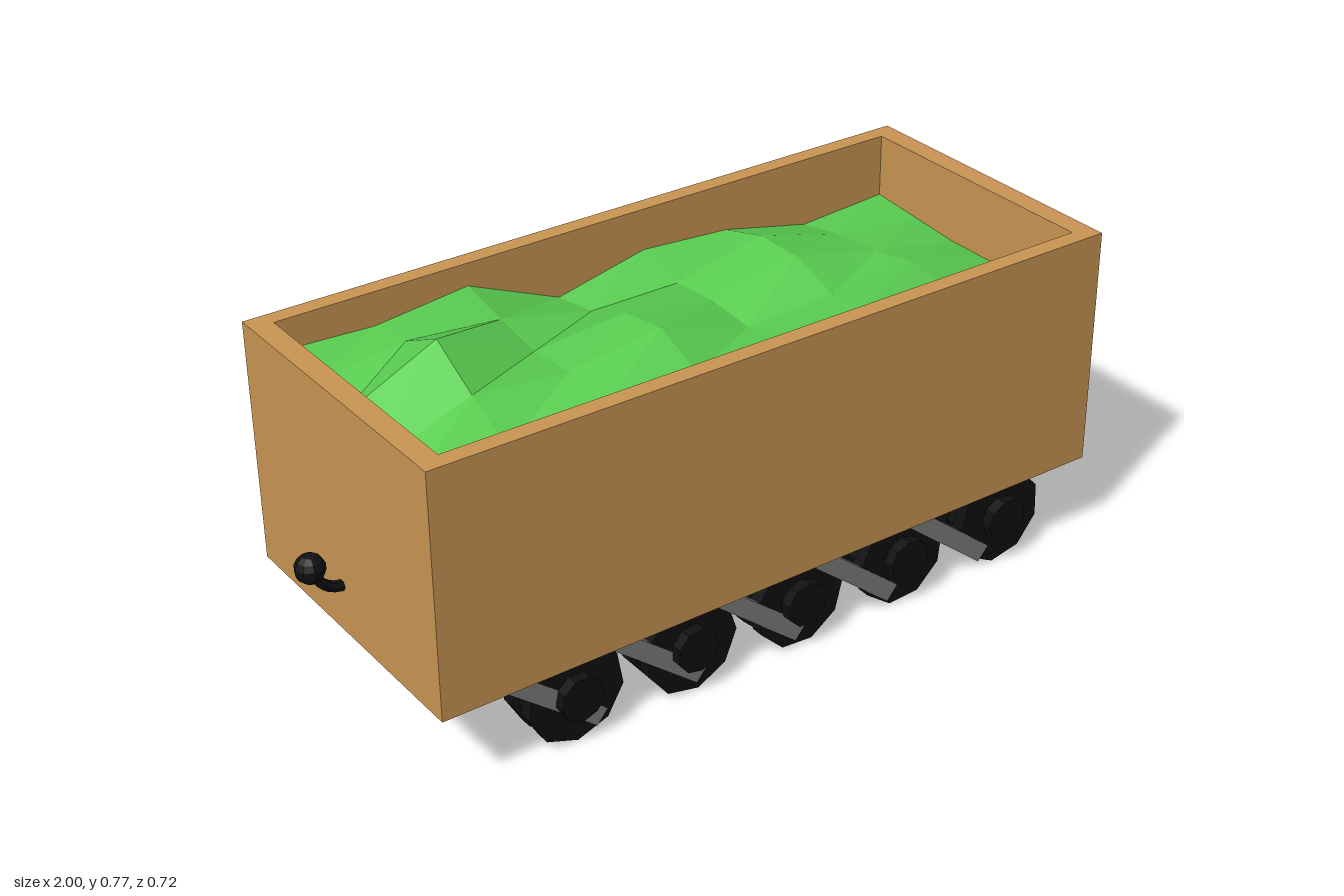
import * as THREE from 'three';

export function createModel() {
  const model = new THREE.Group();
  model.name = 'wagon';

  const material = (name, color) => {
    const m = new THREE.MeshStandardMaterial({ color, flatShading: true });
    m.name = name;
    return m;
  };
  const wood = material('wood', 0xca9553);
  const green = material('green load', 0x5bd052);
  green.side = THREE.DoubleSide;
  const black = material('black iron', 0x101010);
  const grey = material('grey steel', 0x7c7c7c);

  const add = (name, geometry, mat, x = 0, y = 0, z = 0, parent = model) => {
    const mesh = new THREE.Mesh(geometry, mat);
    mesh.name = name;
    mesh.position.set(x, y, z);
    parent.add(mesh);
    return mesh;
  };

  // Flat rectangular frame lying in the xz plane, extruded upwards
  const frame = (x0, x1, z, hx0, hx1, hz, height) => {
    const rect = (T, a, b, c) => new T([
      new THREE.Vector2(a, -c), new THREE.Vector2(b, -c),
      new THREE.Vector2(b, c), new THREE.Vector2(a, c),
    ]);
    const shape = rect(THREE.Shape, x0, x1, z);
    shape.holes.push(rect(THREE.Path, hx0, hx1, hz));
    return new THREE.ExtrudeGeometry(shape, { depth: height, bevelEnabled: false }).rotateX(-Math.PI / 2);
  };

  // Open crate body
  add('crateWalls', frame(-0.9, 0.777, 0.36, -0.85, 0.727, 0.32, 0.56), wood, 0, 0.208);
  add('crateFloor', new THREE.BoxGeometry(1.577, 0.05, 0.64), wood, -0.0615, 0.233, 0);

  // Drawbar loop at one end
  add('couplingLoop', frame(0.777, 1, 0.12, 0.872, 0.982, 0.06, 0.045), wood, 0, 0.335);

  // Curved hook with a ball at the other end
  const hookCurve = new THREE.CatmullRomCurve3([
    new THREE.Vector3(-0.965, 0.385, -0.015), new THREE.Vector3(-0.95, 0.35, -0.015),
    new THREE.Vector3(-0.925, 0.328, -0.015), new THREE.Vector3(-0.89, 0.32, -0.015),
  ]);
  add('hook', new THREE.TubeGeometry(hookCurve, 8, 0.012, 6), black);
  add('hookBall', new THREE.SphereGeometry(0.033, 9, 7), black, -0.967, 0.387, -0.015);

  // Lumpy load: rows run from back to front, columns along x
  const heights = [
    [0.70, 0.69, 0.715, 0.62, 0.67, 0.655, 0.605, 0.62],
    [0.68, 0.71, 0.69, 0.64, 0.64, 0.69, 0.63, 0.61],
    [0.665, 0.77, 0.67, 0.69, 0.65, 0.69, 0.64, 0.60],
    [0.62, 0.70, 0.68, 0.71, 0.64, 0.65, 0.66, 0.60],
    [0.62, 0.64, 0.66, 0.66, 0.66, 0.68, 0.64, 0.615],
    [0.63, 0.64, 0.695, 0.66, 0.62, 0.67, 0.665, 0.665],
  ];
  const load = new THREE.PlaneGeometry(1.577, 0.64, 7, 5).rotateX(-Math.PI / 2);
  const p = load.attributes.position;
  for (let i = 0; i < p.count; i++) p.setY(i, heights[Math.floor(i / 8)][i % 8]);
  load.computeVertexNormals();
  add('load', load, green, -0.0615);

  // Grooved wheel profile, turned about its axle; the hub points outwards
  const profile = [[0, -0.048], [0.115, -0.048], [0.115, -0.017], [0.101, -0.013], [0.101, 0.013],
    [0.115, 0.017], [0.115, 0.048], [0.052, 0.048], [0.052, 0.074], [0, 0.074]]
    .map(([r, y]) => new THREE.Vector2(r, y));
  const wheelGeo = new THREE.LatheGeometry(profile, 9).rotateX(Math.PI / 2);
  const rodGeo = new THREE.BoxGeometry(0.31, 0.042, 0.02);
  const wheelX = [-0.575, -0.29, -0.005, 0.277, 0.56];
  const rodEndX = [-0.52, -0.27, -0.01, 0.245, 0.51];

  for (const side of [1, -1]) {
    const row = new THREE.Group();
    row.name = side > 0 ? 'frontWheels' : 'backWheels';
    model.add(row);
    wheelX.forEach((x, i) => {
      const wheel = add('wheel', wheelGeo, black, x, 0.117, side * 0.282, row);
      wheel.rotation.set(0, side > 0 ? 0 : Math.PI, i * 0.14);
      // Slanted rod from the crate floor down across the wheel
      const rod = add('rod', rodGeo, grey, rodEndX[i] - 0.116, 0.132, side * 0.322, row);
      rod.rotation.z = -0.68;
    });
  }
  return model;
}
